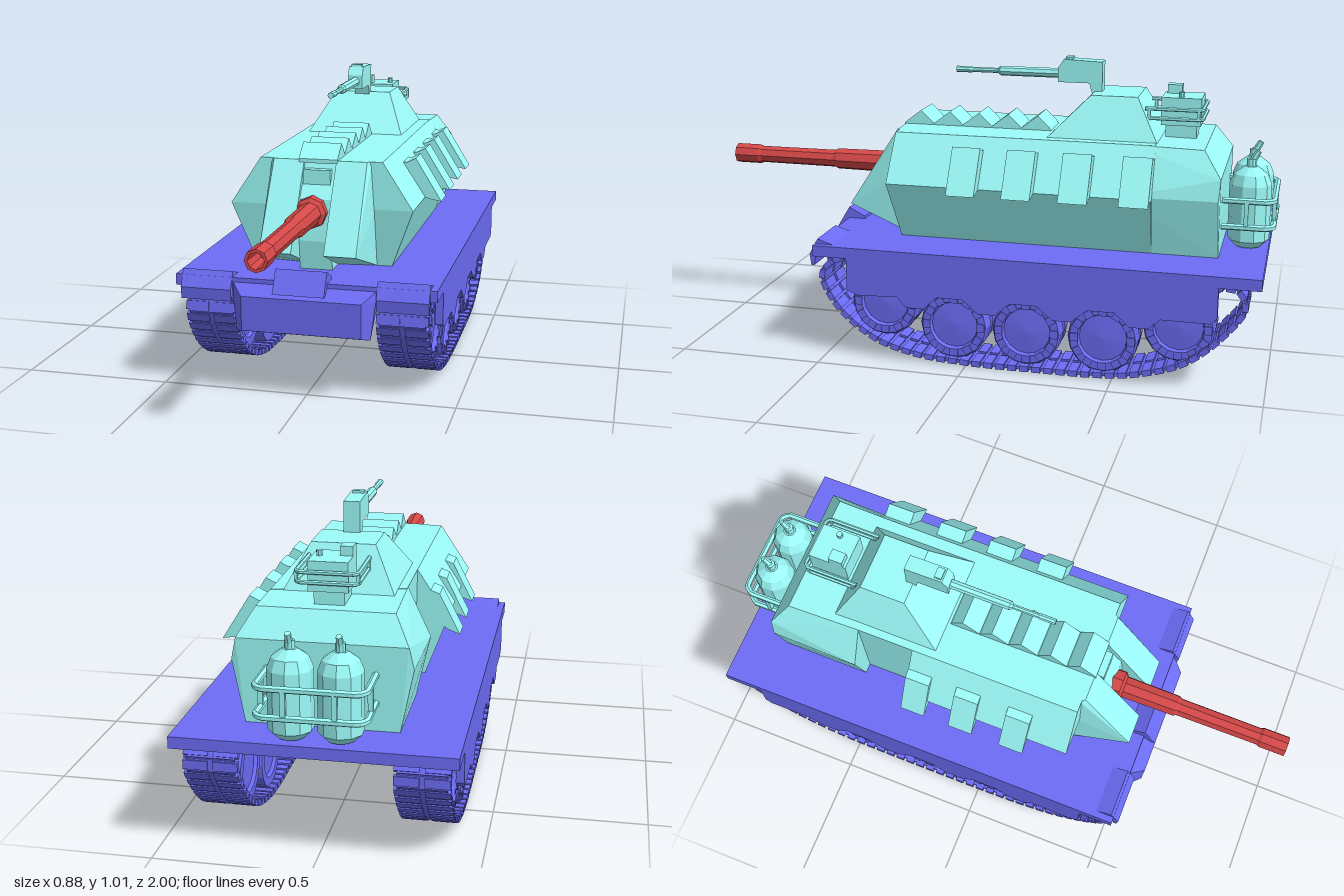
import * as THREE from 'three';
import { mergeGeometries } from 'three/addons/utils/BufferGeometryUtils.js';
import { ConvexGeometry } from 'three/addons/geometries/ConvexGeometry.js';

const paint = (color) => new THREE.MeshStandardMaterial({ color, flatShading: true, side: THREE.DoubleSide });
const BLUE = paint(0x6c6cf6), CYAN = paint(0x9cfcfa), RED = paint(0xd64848);

export function createModel() {
  const model = new THREE.Group();
  const add = (name, geo, mat, parent = model) => {
    const mesh = new THREE.Mesh(geo, mat);
    mesh.name = name;
    parent.add(mesh);
    return mesh;
  };
  const box = (x0, x1, y0, y1, z0, z1) =>
    new THREE.BoxGeometry(x1 - x0, y1 - y0, z1 - z0).translate((x0 + x1) / 2, (y0 + y1) / 2, (z0 + z1) / 2);
  const shapeOf = (pts) => new THREE.Shape(pts.map(([a, b]) => new THREE.Vector2(a, b)));
  // side profile of [z, y] points, extruded across x
  const sideExtrude = (pts, x0, x1) =>
    new THREE.ExtrudeGeometry(shapeOf(pts), { depth: x1 - x0, bevelEnabled: false })
      .rotateY(-Math.PI / 2).translate(x1, 0, 0);
  const convex = (pts) => new ConvexGeometry(pts.map((p) => new THREE.Vector3(...p)));
  const mirrored = (pts) => pts.flatMap(([x, y, z]) => [[x, y, z], [-x, y, z]]);
  // lathe turned to run along z; profile of [radius, z]
  const barrel = (pts, sides, x, y) =>
    new THREE.LatheGeometry(pts.map(([r, z]) => new THREE.Vector2(r, z)), sides)
      .rotateX(Math.PI / 2).translate(x, y, 0);
  const pipe = (pts, r) => {
    const path = new THREE.CurvePath();
    const v = pts.map((p) => new THREE.Vector3(...p));
    for (let i = 0; i < v.length - 1; i++) path.add(new THREE.LineCurve3(v[i], v[i + 1]));
    return new THREE.TubeGeometry(path, v.length * 8, r, 6);
  };

  // ---- hull ----
  add('deck', box(-0.438, 0.438, 0.362, 0.4, -0.975, 0.53), BLUE);
  add('bow', convex(mirrored([[0.24, 0.385, 0.53], [0.2, 0.352, 0.575], [0.2, 0.235, 0.572], [0.225, 0.225, 0.545],
    [0.24, 0.352, 0.535], [0.24, 0.385, 0.45], [0.225, 0.3, 0.46]])), BLUE);
  add('bowCover', sideExtrude([[0.575, 0.365], [0.53, 0.44], [0.47, 0.41], [0.47, 0.37]], -0.095, 0.078), BLUE);

  // skirt edge, cut up over each road wheel
  const wheelZ = [0.29, 0.045, -0.207, -0.465, -0.715];
  const skirt = [[0.41, 0.38], [0.41, 0.25], [0.37, 0.235], [0.23, 0.24]];
  for (let i = 0; i < 4; i++) {
    const mid = (wheelZ[i] + wheelZ[i + 1]) / 2;
    skirt.push([mid + 0.03, 0.205], [mid - 0.03, 0.205]);
    if (i < 3) skirt.push([wheelZ[i + 1] + 0.045, 0.25], [wheelZ[i + 1] - 0.045, 0.25]);
  }
  skirt.push([-0.66, 0.24], [-0.82, 0.24], [-0.84, 0.26], [-0.84, 0.38]);

  // ---- running gear ----
  const trackCurve = new THREE.CatmullRomCurve3([
    [0.51, 0.29], [0.46, 0.18], [0.33, 0.075], [0.19, 0.03], [0, 0.013], [-0.25, 0.012], [-0.45, 0.015],
    [-0.58, 0.03], [-0.74, 0.085], [-0.87, 0.2], [-0.925, 0.29], [-0.9, 0.345], [-0.75, 0.345],
    [-0.2, 0.335], [0.3, 0.345], [0.46, 0.345],
  ].map(([z, y]) => new THREE.Vector3(0, y, z)), true);
  const trackGeometry = () => {
    const links = 76, step = trackCurve.getLength() / links, parts = [];
    for (let i = 0; i < links; i++) {
      const p = trackCurve.getPointAt(i / links), t = trackCurve.getTangentAt(i / links);
      const link = mergeGeometries([
        box(-0.086, -0.008, -0.011, 0.009, -step * 0.36, step * 0.36),
        box(0.008, 0.086, -0.011, 0.009, -step * 0.36, step * 0.36),
        box(-0.076, 0.076, -0.005, 0.005, -step * 0.5, step * 0.5),
      ]);
      parts.push(link.rotateX(Math.atan2(-t.y, t.z)).translate(0, p.y, p.z));
    }
    return mergeGeometries(parts);
  };
  const track = trackGeometry();
  // twin road wheel with a groove between the two tyres
  const wheel = new THREE.LatheGeometry([
    [0, -0.055], [0.075, -0.055], [0.085, -0.065], [0.116, -0.065], [0.118, -0.055], [0.118, -0.015], [0.09, -0.015],
    [0.09, 0.015], [0.118, 0.015], [0.118, 0.055], [0.112, 0.065], [0.086, 0.065], [0.08, 0.052], [0, 0.058],
  ].map(([r, h]) => new THREE.Vector2(r, h)), 16).rotateZ(-Math.PI / 2);
  // ring of blocks around the wheel face
  const rimBlocks = mergeGeometries(Array.from({ length: 12 }, (_, i) =>
    box(0.05, 0.07, 0.082, 0.108, -0.014, 0.014).rotateX((i * Math.PI) / 6)));
  for (const s of [1, -1]) {
    const side = new THREE.Group();
    side.name = s > 0 ? 'leftRunningGear' : 'rightRunningGear';
    model.add(side);
    add('skirt', sideExtrude(skirt, s > 0 ? 0.412 : -0.438, s > 0 ? 0.438 : -0.412), BLUE, side);
    add('track', track, BLUE, side).position.x = s * 0.323;
    wheelZ.forEach((z, i) => {
      const w = add('roadWheel', wheel, BLUE, side);
      add('rimBlocks', rimBlocks, BLUE, w);
      w.position.set(s * 0.325, i % 4 === 0 ? 0.2 : 0.138, z);
      if (s < 0) w.rotation.y = Math.PI;
    });
    const [a, b] = s > 0 ? [0.243, 0.415] : [-0.415, -0.243];
    add('mudguard', sideExtrude([[0.55, 0.362], [0.52, 0.418], [0.465, 0.4], [0.465, 0.365], [0.525, 0.362],
      [0.535, 0.322], [0.545, 0.322]], a, b), BLUE, side);
  }

  // ---- superstructure ----
  const section = (z) => [[0.24, 0.4, z], [0.315, 0.6, z], [0.21, 0.76, z]];
  add('frontBody', convex(mirrored([[0.24, 0.4, 0.275], [0.315, 0.6, 0.305], [0.21, 0.76, 0.3], ...section(-0.3)])), CYAN);
  add('middleBody', convex([...section(-0.28), ...section(-0.6),
    ...[-0.28, -0.52].flatMap((z) => [[-0.205, 0.4, z], [-0.21, 0.76, z]])]), CYAN);
  add('rearBody', convex(mirrored([[0.24, 0.4, -0.5], [0.285, 0.6, -0.5], [0.21, 0.76, -0.5], [0.215, 0.755, -0.76],
    [0.265, 0.67, -0.82], [0.28, 0.6, -0.815], [0.24, 0.4, -0.82]])), CYAN);
  // narrow armoured cheeks standing out on both sides of the gun
  for (const s of [1, -1]) {
    add('cheek', convex([[0.055, 0.76, 0.31], [0.16, 0.76, 0.31], [0.055, 0.48, 0.49], [0.163, 0.48, 0.49],
      [0.055, 0.4, 0.29], [0.188, 0.4, 0.275], [0.185, 0.6, 0.29], [0.172, 0.76, 0.29],
      [0.055, 0.4, 0.24], [0.055, 0.76, 0.24]].map(([x, y, z]) => [s * x, y, z])), CYAN);
  }
  add('mantlet', sideExtrude([[0.22, 0.4], [0.37, 0.4], [0.385, 0.5], [0.37, 0.64], [0.325, 0.7], [0.3, 0.755], [0.22, 0.755]],
    -0.056, 0.056), CYAN);
  add('sightBlock', box(-0.053, 0.041, 0.68, 0.732, 0.28, 0.338), CYAN);

  // saw-tooth roof armour
  const teeth = [[0.315, 0.75]];
  for (let i = 0; i < 5; i++) {
    const z = 0.315 - i * 0.106;
    teeth.push([z, 0.764], [z - 0.06, 0.81], [z - 0.1, 0.772]);
  }
  teeth.push([-0.22, 0.75]);
  add('roofRibs', sideExtrude(teeth, -0.073, 0.06), CYAN);

  // angled side armour blocks
  const block = (pts, z0, z1) =>
    add('sideArmour', new THREE.ExtrudeGeometry(shapeOf(pts), { depth: z1 - z0, bevelEnabled: false }).translate(0, 0, z0), CYAN);
  for (const z of [-0.02, -0.21, -0.4, -0.6])
    block([[0.22, 0.72], [0.25, 0.72], [0.28, 0.735], [0.372, 0.587], [0.335, 0.593], [0.28, 0.61]], z, z + 0.097);
  for (const z of [0.07, -0.12, -0.3])
    block([[-0.23, 0.7], [-0.285, 0.68], [-0.355, 0.543], [-0.31, 0.56], [-0.26, 0.62]], z, z + 0.088);

  // ---- raised cupola and machine gun ----
  add('cupola', convex([[-0.185, 0.755, -0.22], [0.172, 0.755, -0.22], [-0.185, 0.755, -0.6], [0.172, 0.755, -0.6],
    [-0.11, 0.898, -0.36], [0.097, 0.898, -0.36], [-0.11, 0.898, -0.52], [0.097, 0.898, -0.52]]), CYAN);
  add('gunMount', sideExtrude([[-0.23, 0.925], [-0.23, 0.975], [-0.25, 1.005], [-0.385, 1.0], [-0.385, 0.89], [-0.35, 0.89], [-0.34, 0.925]],
    -0.034, 0.02), CYAN);
  add('gunMountTop', box(-0.027, 0.012, 0.99, 1.012, -0.28, -0.255), CYAN);
  add('machineGun', barrel([[0, -0.24], [0.017, -0.24], [0.017, -0.02], [0.009, -0.01], [0.009, 0.08], [0.011, 0.085],
    [0.011, 0.14], [0, 0.14]], 8, -0.007, 0.952), CYAN);

  // ---- rear observation box with rail ----
  add('sightBase', box(-0.05, 0.045, 0.75, 0.81, -0.715, -0.61), CYAN);
  add('sightBox', box(-0.065, 0.06, 0.8, 0.895, -0.73, -0.595), CYAN);
  add('sightHood', box(-0.065, -0.025, 0.89, 0.925, -0.655, -0.605), CYAN);
  add('sightKnob', new THREE.CylinderGeometry(0.01, 0.01, 0.02, 8).translate(0.038, 0.902, -0.66), CYAN);
  for (const y of [0.83, 0.862])
    add('sightRail', pipe([[-0.095, y, -0.545], [-0.095, y, -0.725], [-0.085, y, -0.738], [0.087, y, -0.738],
      [0.097, y, -0.725], [0.097, y, -0.545]], 0.007), CYAN);
  for (const x of [-0.095, 0.097])
    for (const z of [-0.56, -0.725]) add('sightRailPost', box(x - 0.005, x + 0.005, 0.83, 0.862, z - 0.005, z + 0.005), CYAN);

  // ---- gas bottles and rack ----
  const bottle = [[0, 0.405], [0.045, 0.405], [0.07, 0.43], [0.07, 0.62], [0.056, 0.655], [0.022, 0.68], [0.016, 0.68],
    [0.016, 0.705], [0, 0.705]].map(([r, y]) => new THREE.Vector2(r, y));
  for (const x of [-0.077, 0.075]) {
    add('gasBottle', new THREE.LatheGeometry(bottle, 10), CYAN).position.set(x, 0, -0.905);
    add('valve', new THREE.CylinderGeometry(0.01, 0.013, 0.05, 6).rotateX(-0.5).translate(x, 0.71, -0.915), CYAN);
  }
  for (const y of [0.49, 0.58])
    add('bottleRack', pipe([[-0.165, y, -0.81], [-0.165, y, -0.965], [-0.145, y, -0.988], [0.148, y, -0.988],
      [0.168, y, -0.965], [0.168, y, -0.81]], 0.011), CYAN);
  for (const [x, z] of [[-0.165, -0.9], [0.168, -0.9], [-0.075, -0.988], [0.078, -0.988]])
    add('rackPost', box(x - 0.008, x + 0.008, 0.49, 0.58, z - 0.007, z + 0.007), CYAN);

  // ---- main gun ----
  add('mainGun', barrel([[0, 0.33], [0.054, 0.33], [0.054, 0.4], [0.04, 0.41], [0.038, 0.6], [0.032, 0.61], [0.031, 0.9],
    [0.036, 0.91], [0.036, 1], [0.026, 1], [0.022, 0.9], [0, 0.9]], 8, -0.012, 0.598), RED);

  return model;
}
